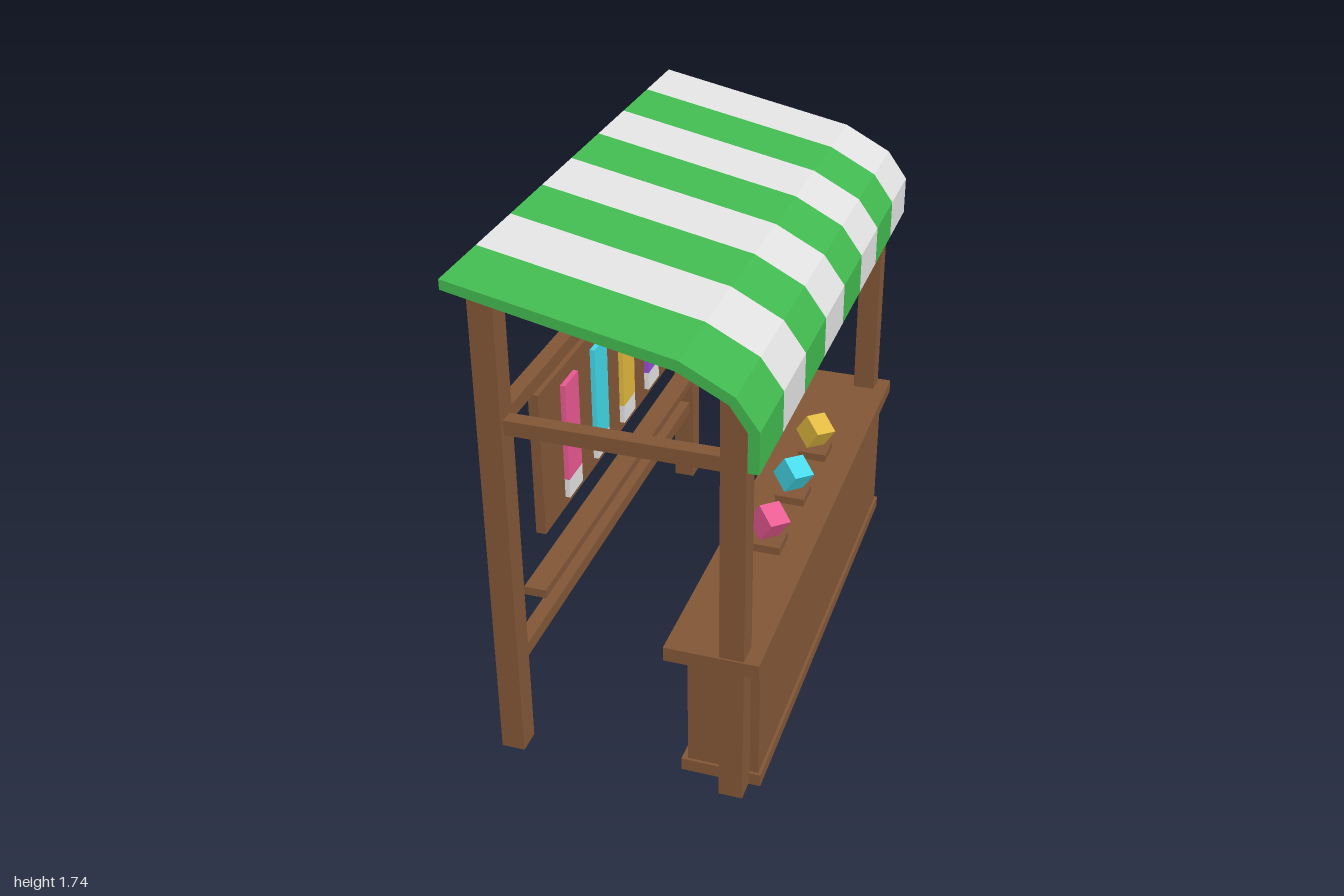
import * as THREE from 'three';

const material = (name, color) => {
  const m = new THREE.MeshStandardMaterial({ color });
  m.name = name;
  return m;
};

export function createModel() {
  const group = new THREE.Group();
  group.name = 'marketStall';

  const wood = material('brown wood', 0x825637);
  const green = material('awning green', 0x41b84f);
  const white = material('off white', 0xe0e0e0);
  const pink = material('pink', 0xf05c96);
  const cyan = material('cyan', 0x46dff0);
  const yellow = material('yellow', 0xe0b83e);
  const purple = material('purple', 0x964ed0);

  // Box given by its limits on each axis
  const box = (name, mat, [x0, x1], [y0, y1], [z0, z1]) => {
    const mesh = new THREE.Mesh(new THREE.BoxGeometry(x1 - x0, y1 - y0, z1 - z0), mat);
    mesh.position.set((x0 + x1) / 2, (y0 + y1) / 2, (z0 + z1) / 2);
    mesh.name = name;
    group.add(mesh);
    return mesh;
  };
  const around = (c, size) => [c - size / 2, c + size / 2];

  // Corner posts and side beams
  for (const s of [-1, 1]) {
    const z = around(s * 0.907, 0.083);
    box('backPost', wood, [-0.42, -0.34], [0, 1.69], z);
    box('frontPost', wood, [0.34, 0.42], [0, 1.465], z);
    box('sideBeam', wood, [-0.34, 0.34], [1.215, 1.265], around(s * 0.907, 0.05));
  }

  // Back rails, shelf and display board
  const span = [-0.866, 0.866];
  box('upperBackRail', wood, around(-0.38, 0.05), [1.215, 1.265], span);
  box('lowerBackRail', wood, around(-0.38, 0.05), [0.31, 0.36], span);
  box('shelf', wood, [-0.34, -0.265], [0.585, 0.615], span);
  box('displayBoard', wood, [-0.395, -0.36], [0.66, 1.185], [-0.63, 0.63]);

  // Cloth strips with pale ends
  [pink, cyan, yellow, purple].forEach((mat, i) => {
    const z = around(0.397 - 0.265 * i, 0.115);
    box('clothStrip', mat, [-0.36, -0.342], [0.77, 1.13], z);
    box('clothStripEnd', white, [-0.36, -0.342], [0.7, 0.77], z);
  });

  // Counter
  box('counterBody', wood, [0.21, 0.45], [0.045, 0.505], span);
  box('counterPlinth', wood, [0.19, 0.46], [0, 0.045], [-0.876, 0.876]);
  box('counterTop', wood, [0.16, 0.47], [0.505, 0.555], [-0.955, 0.955]);

  // Tilted cubes on small stands
  const up = new THREE.Vector3(7.9, 13, 3).normalize();
  const side = new THREE.Vector3(-9.7, 1, 12);
  side.addScaledVector(up, -side.dot(up)).normalize();
  const tilt = new THREE.Matrix4().makeBasis(side, up, side.clone().cross(up));
  [pink, cyan, yellow].forEach((mat, i) => {
    const z = 0.315 * (1 - i);
    box('cubeStand', wood, around(0.32, 0.104), [0.555, 0.584], around(z, 0.106));
    const cube = box('displayCube', mat, around(0.32, 0.086), around(0.653, 0.086), around(z, 0.086));
    cube.quaternion.setFromRotationMatrix(tilt);
  });

  // Striped awning, one bent slab per stripe
  const profile = new THREE.Shape([
    [-0.475, 1.705], [0.225, 1.558], [0.381, 1.478], [0.437, 1.397], [0.437, 1.268],
    [0.472, 1.268], [0.472, 1.405], [0.4, 1.505], [0.235, 1.592], [-0.475, 1.738],
  ].map(([x, y]) => new THREE.Vector2(x, y)));
  const stripe = new THREE.ExtrudeGeometry(profile, { depth: 0.25, bevelEnabled: false });
  for (let i = 0; i < 8; i++) {
    const mesh = new THREE.Mesh(stripe, i % 2 ? green : white);
    mesh.position.z = -1 + 0.25 * i;
    mesh.name = 'awningStripe';
    group.add(mesh);
  }

  return group;
}
